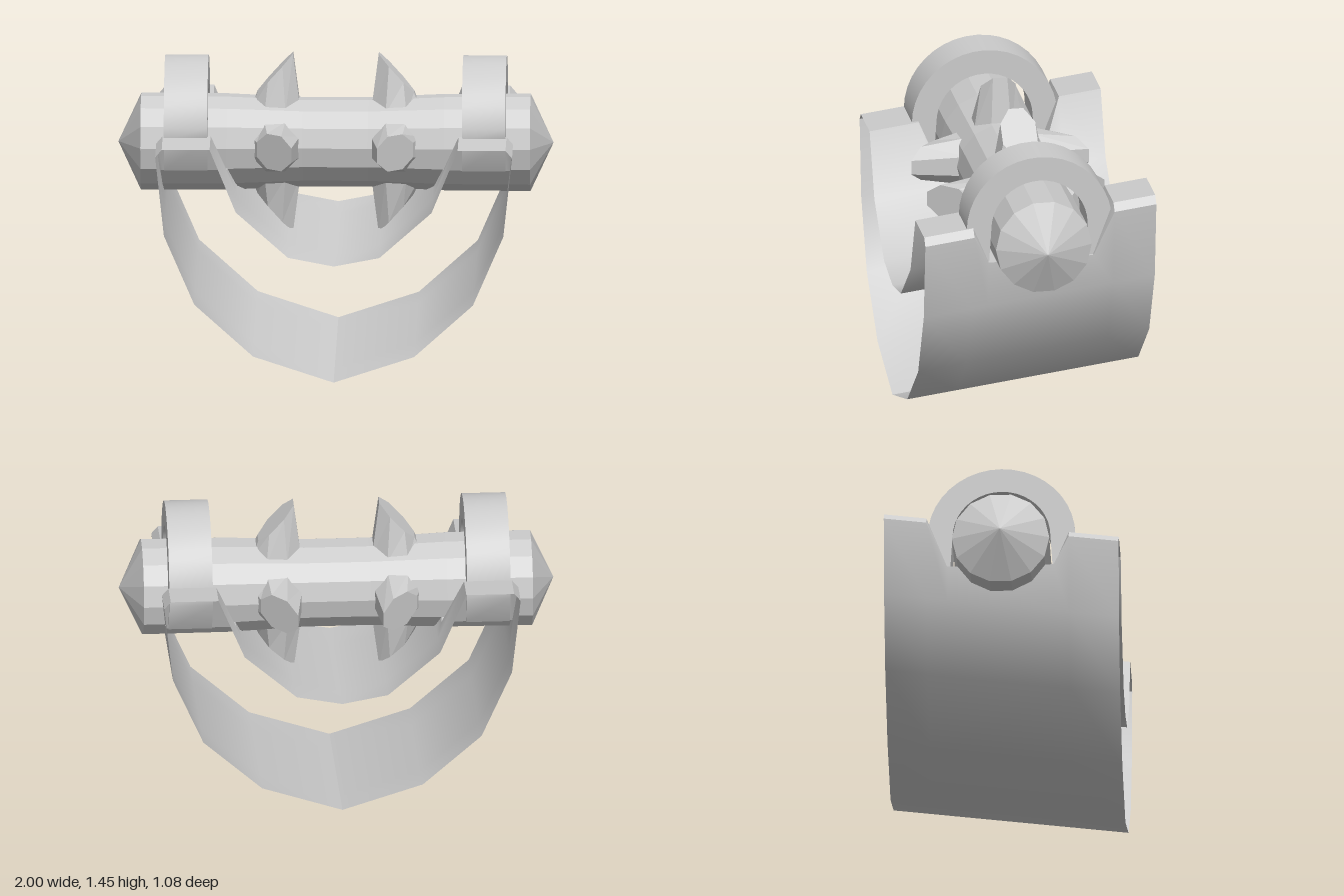
import * as THREE from 'three';
import { toCreasedNormals } from 'three/addons/utils/BufferGeometryUtils.js';

const smooth = new THREE.MeshStandardMaterial({ color: 0xcccccc, side: THREE.DoubleSide });
const faceted = new THREE.MeshStandardMaterial({ color: 0xcccccc, flatShading: true });
const AXIS_Y = 1.035;

function addMesh(parent, name, geometry, material) {
  const mesh = new THREE.Mesh(geometry, material);
  mesh.name = name;
  parent.add(mesh);
  return mesh;
}

// Hollow trough: outer wall, rim and inner wall, open at both ends, rising to the back
function troughGeometry() {
  // half section from bottom centre over the rim to the inner centre, at the front end
  const half = [
    [0, 0], [0.37, 0.12], [0.64, 0.36], [0.78, 0.68], [0.82, 1.045], [0.79, 1.08],
    [0.57, 1.08], [0.45, 0.79], [0.21, 0.58], [0, 0.54],
  ];
  // z of each section and the height the rim is cut to for the saddle notch
  const stations = [[0.54, 9], [0.31, 9], [0.24, 0.94], [-0.25, 0.94], [-0.345, 9], [-0.54, 9]];

  const section = ([z, limit]) => {
    const rise = (0.54 - z) * 0.123;
    const p = half.map(([x, y]) => [x, y + rise]);
    const cut = (below, above) => {
      const t = (limit - below[1]) / (above[1] - below[1]);
      return [below[0] + (above[0] - below[0]) * t, limit];
    };
    if (p[5][1] > limit) {
      const outer = cut(p[3], p[4]);
      p[6] = cut(p[7], p[6]);
      p[4] = outer;
      p[5] = [outer[0] - 0.015, limit];
    }
    const mirrored = p.slice(1, -1).reverse().map(([x, y]) => [-x, y]);
    return [...p, ...mirrored].map(([x, y]) => [x, y, z]);
  };

  const rings = stations.map(section);
  const n = rings[0].length;
  const pos = [];
  for (let s = 0; s < rings.length - 1; s++) {
    for (let i = 0; i < n; i++) {
      const j = (i + 1) % n;
      const a = rings[s][i], b = rings[s][j], c = rings[s + 1][j], d = rings[s + 1][i];
      pos.push(...a, ...d, ...b, ...b, ...d, ...c);
    }
  }
  const g = new THREE.BufferGeometry();
  g.setAttribute('position', new THREE.Float32BufferAttribute(pos, 3));
  g.computeVertexNormals();
  return toCreasedNormals(g, 0.62);
}

// Horseshoe clamp that straddles the roller
function clampGeometry() {
  const cy = 1.095, depth = 0.2;
  const shape = new THREE.Shape();
  shape.moveTo(0.26, 0.94);
  shape.lineTo(0.34, cy);
  shape.absarc(0, cy, 0.34, 0, Math.PI, false);
  shape.lineTo(-0.26, 0.94);
  shape.lineTo(-0.235, 0.94);
  shape.lineTo(-0.225, cy);
  shape.absarc(0, cy, 0.225, Math.PI, 0, true);
  shape.lineTo(0.235, 0.94);
  shape.closePath();
  const g = new THREE.ExtrudeGeometry(shape, { depth, bevelEnabled: false, curveSegments: 10 });
  g.translate(0, 0, -depth / 2);
  g.rotateY(Math.PI / 2);
  return toCreasedNormals(g, 0.6);
}

// Eight-sided stud with a slanted top, high on the side facing the middle
function studGeometry(side) {
  const g = new THREE.CylinderGeometry(0.088, 0.125, 1, 8, 1);
  g.rotateY(Math.PI / 8);
  const p = g.attributes.position;
  for (let i = 0; i < p.count; i++) {
    const top = p.getY(i) > 0;
    p.setY(i, top ? 0.325 - side * p.getX(i) * 1.1 : 0.15);
  }
  g.translate(side * 0.278, 0, 0);
  g.computeVertexNormals();
  return g;
}

export function createModel() {
  const model = new THREE.Group();
  model.name = 'rollerCradle';

  addMesh(model, 'trough', troughGeometry(), smooth);

  // Roller with pointed ends and a slightly slimmer waist
  const roller = new THREE.Group();
  roller.name = 'roller';
  roller.position.y = AXIS_Y;
  model.add(roller);
  const profile = [
    [0, -1], [0.224, -0.895], [0.222, -0.5], [0.206, -0.15],
    [0.206, 0.15], [0.222, 0.5], [0.224, 0.895], [0, 1],
  ].map(([r, y]) => new THREE.Vector2(r, y));
  const barrel = new THREE.LatheGeometry(profile, 14);
  barrel.rotateZ(-Math.PI / 2);
  addMesh(roller, 'rollerBarrel', barrel, faceted);

  for (const side of [-1, 1]) {
    const label = side > 0 ? 'left' : 'right';

    // Four studs around the roller on each half
    const stud = studGeometry(side);
    for (let k = 0; k < 4; k++) {
      addMesh(roller, label + 'Stud' + (k + 1), stud, faceted).rotation.x = k * Math.PI / 2;
    }

    addMesh(model, label + 'Clamp', clampGeometry(), smooth).position.x = side * 0.685;
  }
  return model;
}
